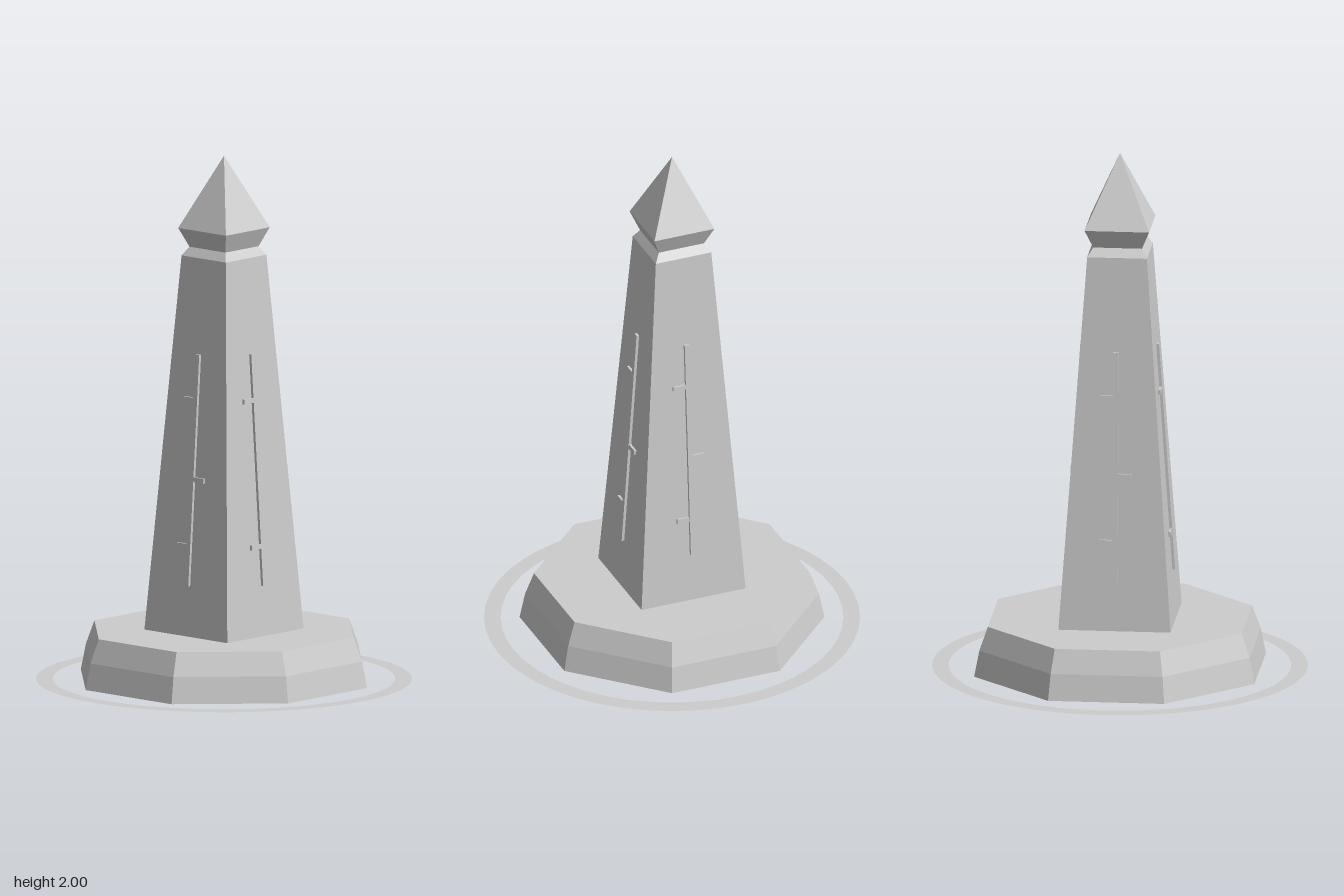
import * as THREE from 'three';

export function createModel() {
  const model = new THREE.Group();
  model.name = 'obelisk';
  const stone = new THREE.MeshStandardMaterial({ color: 0xcccccc });
  stone.name = 'pale stone';
  stone.flatShading = true;
  stone.side = THREE.DoubleSide;

  function add(parent, name, geometry) {
    const mesh = new THREE.Mesh(geometry, stone);
    mesh.name = name;
    parent.add(mesh);
    return mesh;
  }

  // Regular prism with flat sides facing the axes; profile is [half width, y] from bottom to top
  function faceted(sides, profile) {
    const k = 1 / Math.cos(Math.PI / sides);
    const points = profile.map(([a, y]) => new THREE.Vector2(a * k, y));
    return new THREE.LatheGeometry(points, sides, Math.PI / sides);
  }

  // Octagonal plinth with slightly bulging sides
  add(model, 'plinth', faceted(8, [[0, 0], [0.53, 0], [0.511, 0.1], [0.48, 0.19], [0, 0.19]]));

  // Tapered shaft with a chamfered shoulder
  add(model, 'shaft', faceted(4, [[0.212, 0.19], [0.113, 1.62], [0.092, 1.653]]));

  // Flared collar and pyramid tip
  add(model, 'tip', faceted(4, [[0.092, 1.653], [0.122, 1.725], [0, 2]]));

  // Flat ring on the ground
  add(model, 'groundRing', new THREE.RingGeometry(0.645, 0.708, 48).rotateX(-Math.PI / 2));

  // Raised rune on each shaft face: a long stem with three side ticks
  const slope = Math.atan(0.099 / 1.43);
  for (let i = 0; i < 4; i++) {
    const side = new THREE.Group();
    side.name = 'runeSide' + (i + 1);
    side.rotation.y = i * Math.PI / 2;
    model.add(side);

    const rune = new THREE.Group();
    rune.name = 'rune';
    rune.position.set(0, 0.82, 0.168);
    rune.rotation.x = -slope;
    side.add(rune);

    add(rune, 'runeStem', new THREE.BoxGeometry(0.02, 0.88, 0.022));
    for (const [dir, y] of [[-1, 0.265], [1, -0.035], [-1, -0.29]]) {
      add(rune, 'runeTick', new THREE.BoxGeometry(0.052, 0.018, 0.02)).position.set(dir * 0.034, y, 0);
    }
  }
  return model;
}
